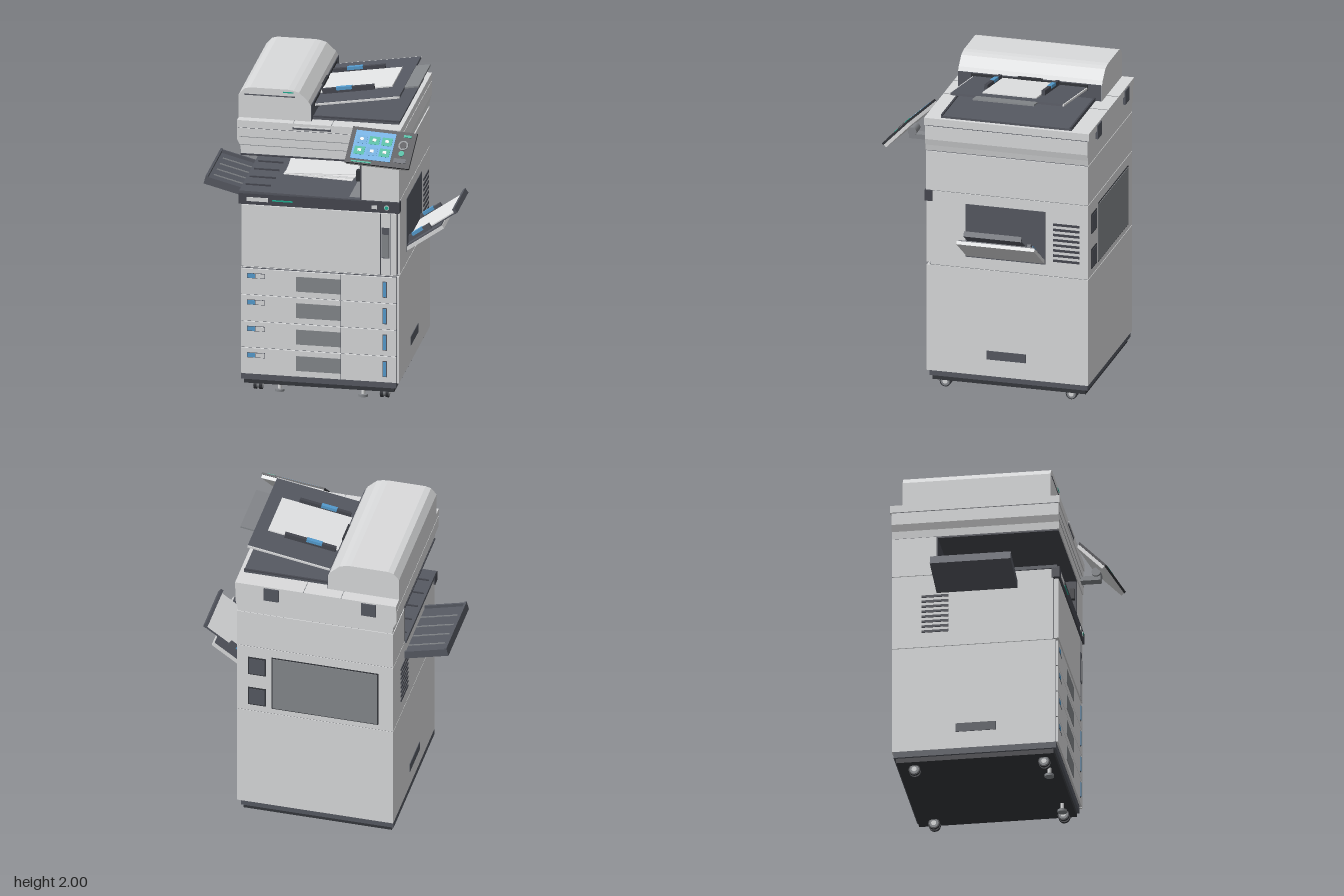
import * as THREE from 'three';

const mat = (name, color) => Object.assign(new THREE.MeshStandardMaterial({ color }), { name });

export function createModel() {
  const shell = mat('shellGray', 0xdadbdc), dark = mat('darkPlastic', 0x565962), charcoal = mat('charcoalPlastic', 0x464850);
  const black = mat('blackPlastic', 0x35373c), gray = mat('midGray', 0x85888c), paper = mat('paperWhite', 0xecedee);
  const blue = mat('guideBlue', 0x559dd0), teal = mat('accentTeal', 0x1fae92), screenBlue = mat('screenBlue', 0x5aa2d8);
  const model = new THREE.Group();
  model.name = 'officeCopier';

  const add = (parent, name, geometry, material) => {
    const m = new THREE.Mesh(geometry, material);
    m.name = name;
    parent.add(m);
    return m;
  };
  // Box given by its limits on each axis
  const box = (name, m, x0, x1, y0, y1, z0, z1, parent = model) => {
    const b = add(parent, name, new THREE.BoxGeometry(x1 - x0, y1 - y0, z1 - z0), m);
    b.position.set((x0 + x1) / 2, (y0 + y1) / 2, (z0 + z1) / 2);
    return b;
  };
  const cyl = (name, m, r, h, x, y, z, axis = 'y', parent = model) => {
    const c = add(parent, name, new THREE.CylinderGeometry(r, r, h, 20), m);
    c.position.set(x, y, z);
    if (axis === 'x') c.rotation.z = Math.PI / 2;
    if (axis === 'z') c.rotation.x = Math.PI / 2;
    return c;
  };
  const group = (name, x, y, z, rotZ = 0) => {
    const g = new THREE.Group();
    g.name = name;
    g.position.set(x, y, z);
    g.rotation.z = rotZ;
    model.add(g);
    return g;
  };
  // Front-view outline swept along z
  const sweep = (name, m, pts, z0, z1) => {
    const shape = new THREE.Shape(pts.map(p => new THREE.Vector2(...p)));
    const s = add(model, name, new THREE.ExtrudeGeometry(shape, { depth: z1 - z0, bevelEnabled: false }), m);
    s.position.z = z0;
    return s;
  };

  // Base, casters and stabiliser feet
  box('base', dark, -0.51, 0.465, 0.09, 0.13, -0.63, 0.385);
  box('baseSkirt', black, -0.495, 0.45, 0.06, 0.09, -0.615, 0.37);
  for (const x of [-0.415, 0.38]) for (const z of [0.3, -0.51]) {
    for (const s of [-1, 1]) cyl('casterWheel', black, 0.036, 0.018, x + s * 0.017, 0.036, z, 'x');
    cyl('casterHub', gray, 0.029, 0.058, x, 0.036, z, 'x');
    cyl('casterCap', shell, 0.016, 0.062, x, 0.036, z, 'x');
    box('casterFork', dark, x - 0.008, x + 0.008, 0.03, 0.065, z - 0.02, z + 0.02);
  }
  for (const x of [-0.28, 0.245]) {
    cyl('footPad', gray, 0.03, 0.015, x, 0.008, 0.31);
    cyl('footStem', shell, 0.012, 0.05, x, 0.04, 0.31);
  }

  // Cabinet with seams between the stacked sections
  box('lowerCabinet', shell, -0.51, 0.485, 0.13, 0.829, -0.64, 0.383);
  box('cabinetSeam', gray, -0.507, 0.482, 0.829, 0.833, -0.637, 0.378);
  box('middleCabinet', shell, -0.51, 0.485, 0.833, 1.319, -0.64, 0.368);
  box('middleSeam', gray, -0.507, 0.482, 1.319, 1.323, -0.637, 0.36);
  box('rearUpperCabinet', shell, -0.51, 0.485, 1.323, 1.579, -0.64, -0.36);
  box('rightPillar', shell, 0.25, 0.485, 1.323, 1.579, -0.36, 0.4);
  box('scannerSeam', dark, -0.505, 0.478, 1.577, 1.584, -0.635, 0.395);
  box('trimEdge', shell, 0.472, 0.485, 0.13, 0.828, 0.383, 0.398);

  // Output bay lining, floor with ribs, and delivered sheets
  box('bayBackWall', charcoal, -0.51, 0.25, 1.323, 1.577, -0.36, -0.352);
  box('baySideWall', charcoal, 0.242, 0.25, 1.323, 1.577, -0.352, 0.4);
  box('bayCeiling', charcoal, -0.51, 0.242, 1.569, 1.577, -0.352, 0.4);
  sweep('bayFloor', dark, [[-0.52, 1.31], [0.242, 1.31], [0.242, 1.322], [-0.52, 1.332]], -0.352, 0.395);
  for (let i = 0; i < 5; i++) box('bayRib', charcoal, -0.5, -0.34, 1.328, 1.34, -0.28 + i * 0.14, -0.272 + i * 0.14);
  for (let i = 0; i < 4; i++) {
    const s = box('deliveredSheet', paper, -0.29, 0.15, 1.338 + i * 0.008, 1.342 + i * 0.008, -0.2, 0.1);
    s.rotation.set(0, (i - 1.5) * 0.05, (i % 2 ? 1 : -1) * 0.012);
  }
  box('bayLatch', black, 0.215, 0.242, 1.44, 1.51, 0.36, 0.39);

  // Front control strip
  box('controlStrip', charcoal, -0.52, 0.49, 1.25, 1.32, 0.36, 0.41);
  box('stripLabel', shell, -0.47, -0.335, 1.272, 1.298, 0.41, 0.413);
  box('stripLight', teal, -0.31, -0.18, 1.279, 1.288, 0.41, 0.413);
  box('stripButton', shell, 0.315, 0.35, 1.273, 1.295, 0.41, 0.414);
  cyl('powerButtonRing', shell, 0.016, 0.006, 0.41, 1.285, 0.411, 'z');
  cyl('powerButton', teal, 0.012, 0.008, 0.41, 1.285, 0.412, 'z');

  // Front door with upright pull handle
  box('doorGap', dark, -0.5, 0.475, 0.836, 1.25, 0.366, 0.373);
  box('frontDoor', shell, -0.505, 0.467, 0.84, 1.243, 0.372, 0.402);
  for (const x of [0.37, 0.432]) box('handleSeam', dark, x - 0.002, x + 0.002, 0.84, 1.243, 0.402, 0.404);
  box('doorHandleRecess', dark, 0.376, 0.427, 0.95, 1.15, 0.402, 0.405);
  box('doorHandleGrip', gray, 0.38, 0.423, 0.955, 1.105, 0.405, 0.408);

  // Four paper drawers
  box('drawerBacking', dark, -0.505, 0.47, 0.135, 0.826, 0.383, 0.387);
  for (let i = 0; i < 4; i++) {
    const y = 0.132 + i * 0.174;
    box('drawerFront', shell, -0.505, 0.467, y, y + 0.168, 0.386, 0.399);
    box('drawerPanelSeam', dark, 0.118, 0.121, y, y + 0.168, 0.399, 0.4);
    box('drawerPull', gray, -0.16, 0.118, y + 0.038, y + 0.135, 0.399, 0.402);
    box('sizeTagFrame', dark, -0.47, -0.355, y + 0.107, y + 0.14, 0.399, 0.401);
    box('sizeTag', blue, -0.467, -0.42, y + 0.11, y + 0.137, 0.4, 0.403);
    box('sizeCard', shell, -0.417, -0.358, y + 0.11, y + 0.137, 0.4, 0.403);
    box('levelFrame', dark, 0.382, 0.41, y + 0.035, y + 0.14, 0.399, 0.402);
    box('levelGauge', blue, 0.386, 0.405, y + 0.04, y + 0.135, 0.401, 0.405);
  }

  // Side grips and vent slots
  for (const [x, z] of [[0.485, -0.5], [-0.51, -0.37]]) {
    box('sideGrip', dark, x - 0.004, x + 0.004, 0.24, 0.297, -0.24, 0.01);
    for (let i = 0; i < 8; i++) {
      const y = 0.93 + i * 0.034;
      box('ventSlot', charcoal, x - 0.005, x + 0.005, y, y + 0.015, z - 0.085, z + 0.085);
    }
  }

  // Rear access panel and connector covers
  box('rearPanelFrame', black, -0.415, 0.265, 0.87, 1.26, -0.643, -0.64);
  box('rearPanel', gray, -0.408, 0.258, 0.877, 1.253, -0.647, -0.64);
  for (const y of [0.88, 1.11]) {
    box('connectorFrame', black, 0.3, 0.415, y, y + 0.13, -0.645, -0.64);
    box('connectorCover', dark, 0.308, 0.407, y + 0.008, y + 0.122, -0.648, -0.64);
  }

  // Scanner body and lid
  sweep('scannerBody', shell, [[-0.505, 1.583], [0.48, 1.583], [0.487, 1.62], [0.497, 1.66], [0.497, 1.748],
    [-0.53, 1.748], [-0.53, 1.67], [-0.51, 1.63]], -0.64, 0.405);
  box('lidSeam', dark, -0.527, 0.494, 1.748, 1.753, -0.637, 0.402);
  box('scannerLid', shell, -0.53, 0.497, 1.753, 1.8, -0.648, 0.41);
  for (const y of [1.638, 1.69]) box('scannerGroove', gray, -0.515, 0.488, y, y + 0.003, 0.405, 0.407);
  box('lidGrip', dark, -0.18, 0.06, 1.762, 1.776, 0.41, 0.413);
  box('lidGripLip', shell, -0.175, 0.055, 1.776, 1.782, 0.41, 0.418);
  for (const x of [-0.18, 0.06]) box('lidTopSeam', gray, x, x + 0.003, 1.8, 1.802, -0.648, 0.41);
  for (const x of [-0.355, 0.265]) box('lidHinge', dark, x - 0.047, x + 0.047, 1.7, 1.79, -0.655, -0.64);

  // Document feeder
  sweep('documentFeeder', shell, [[-0.53, 1.8], [-0.075, 1.8], [-0.075, 1.9], [-0.092, 1.93], [-0.15, 1.985],
    [-0.185, 1.995], [-0.22, 2], [-0.46, 2], [-0.495, 1.99], [-0.53, 1.95]], -0.57, 0.355);
  box('feederEndPlate', dark, -0.078, -0.073, 1.8, 1.905, -0.568, 0.353);
  box('feederMouth', black, -0.076, -0.07, 1.865, 1.9, -0.48, 0.27);
  box('feederLatch', black, -0.085, -0.066, 1.88, 1.91, -0.19, -0.03);
  box('feederExit', black, -0.075, -0.068, 1.812, 1.826, -0.34, 0.12);
  box('feederSlot', dark, -0.495, -0.175, 1.95, 1.957, 0.355, 0.358);
  box('feederLight', teal, -0.25, -0.185, 1.978, 1.985, 0.355, 0.358);
  box('feederOutputTray', dark, -0.075, 0.47, 1.8, 1.814, -0.53, 0.31);
  for (const z of [-0.53, 0.298]) box('outputTrayRim', charcoal, -0.075, 0.47, 1.814, 1.822, z, z + 0.012);

  // Feeder input tray
  const input = group('feederInputTray', -0.08, 1.868, 0, 0.157);
  box('inputTrayPlate', dark, 0, 0.55, 0, 0.014, -0.47, 0.25, input);
  for (const z of [-0.479, 0.25]) box('inputTrayRail', shell, 0, 0.55, 0, 0.012, z, z + 0.009, input);
  box('inputTrayExtension', gray, 0.54, 0.64, 0.002, 0.012, -0.31, 0.083, input);
  box('inputSheets', paper, 0, 0.47, 0.014, 0.022, -0.28, 0.067, input);
  for (const z of [-0.302, 0.066]) {
    box('inputGuide', charcoal, 0.03, 0.36, 0.014, 0.046, z, z + 0.022, input);
    box('inputGuideClip', blue, 0.12, 0.22, 0.03, 0.05, z - 0.002, z + 0.024, input);
  }

  // Bypass tray on the model's left side
  box('bypassOpening', dark, 0.48, 0.488, 0.905, 1.253, -0.365, 0.145);
  const bypass = group('bypassTray', 0.487, 0.91, 0, 0.61);
  box('bypassTrayBody', shell, 0, 0.285, 0, 0.022, -0.36, 0.14, bypass);
  box('bypassTrayTop', dark, 0.01, 0.28, 0.022, 0.03, -0.352, 0.132, bypass);
  box('bypassExtension', dark, 0.1, 0.385, 0.03, 0.037, -0.295, 0.075, bypass);
  box('bypassSheet', paper, 0.02, 0.368, 0.037, 0.044, -0.287, 0.067, bypass);
  box('bypassEndStop', dark, 0.374, 0.392, 0.028, 0.062, -0.295, 0.075, bypass);
  for (const z of [-0.309, 0.067]) {
    box('bypassGuide', dark, 0.02, 0.2, 0.03, 0.066, z, z + 0.022, bypass);
    box('bypassGuideClip', blue, 0.07, 0.15, 0.05, 0.07, z - 0.002, z + 0.024, bypass);
  }

  // Finishing tray on the other side
  const exit = group('sideExitTray', -0.508, 1.195, 0, -0.255);
  box('exitTrayPlate', dark, -0.285, 0, 0, 0.03, -0.355, 0.14, exit);
  for (const z of [-0.36, 0.133]) box('exitTrayRail', dark, -0.285, 0, 0, 0.05, z, z + 0.012, exit);
  box('exitTrayLip', dark, -0.292, -0.278, 0, 0.055, -0.36, 0.145, exit);
  for (let i = 0; i < 4; i++) box('exitTrayRib', gray, -0.255, -0.01, 0.03, 0.036, -0.268 + i * 0.1, -0.262 + i * 0.1, exit);

  // Tilted touch panel on its arm
  box('panelArm', gray, 0.36, 0.42, 1.625, 1.655, 0.4, 0.53);
  cyl('panelKnuckle', gray, 0.028, 0.09, 0.39, 1.675, 0.505, 'x');
  const panel = group('controlPanel', 0.4, 1.718, 0.53);
  panel.rotation.set(-0.77, -0.145, 0, 'YXZ');
  box('panelBack', shell, -0.205, 0.205, -0.12, 0.12, -0.022, 0, panel);
  box('panelFace', black, -0.21, 0.21, -0.122, 0.122, 0, 0.014, panel);
  box('touchScreen', screenBlue, -0.18, 0.08, -0.092, 0.1, 0.014, 0.017, panel);
  for (let i = 0; i < 6; i++) {
    const x = -0.132 + (i % 3) * 0.082, y = i < 3 ? 0.04 : -0.035;
    box('screenTile', i === 0 || i === 4 ? blue : teal, x - 0.034, x + 0.034, y - 0.027, y + 0.027, 0.017, 0.019, panel);
    box('tileIcon', paper, x - 0.012, x + 0.012, y - 0.006, y + 0.012, 0.019, 0.021, panel);
  }
  box('panelLight', teal, -0.17, -0.04, -0.114, -0.105, 0.014, 0.017, panel);
  box('startKey', teal, 0.13, 0.18, 0.085, 0.1, 0.014, 0.019, panel);
  cyl('dialRing', gray, 0.032, 0.006, 0.14, 0.03, 0.016, 'z', panel);
  cyl('dialCenter', black, 0.022, 0.008, 0.14, 0.03, 0.017, 'z', panel);
  cyl('okKey', teal, 0.018, 0.006, 0.14, -0.025, 0.016, 'z', panel);
  box('cardReader', dark, 0.1, 0.18, -0.09, -0.06, 0.014, 0.018, panel);
  return model;
}
